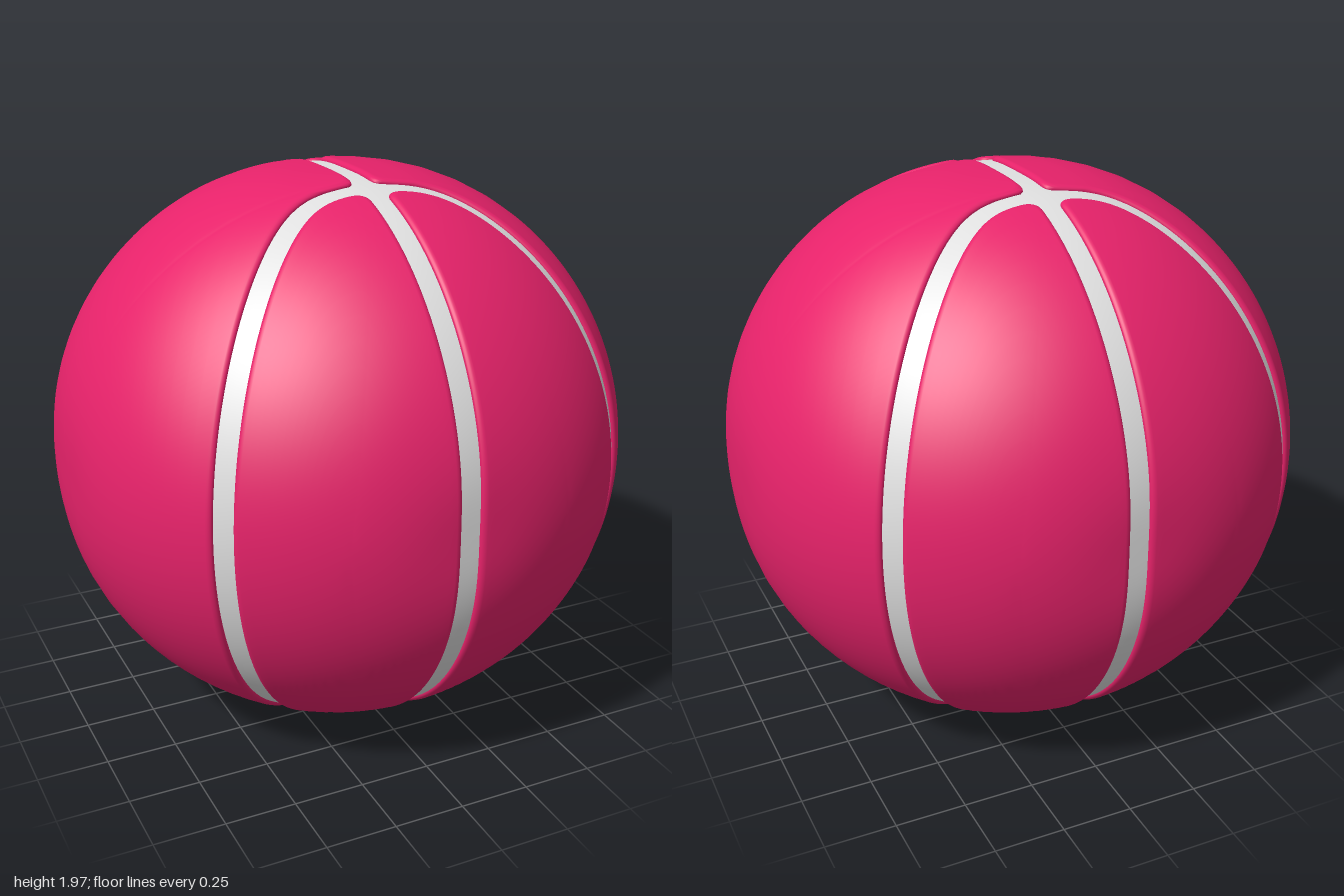
import * as THREE from 'three';

const HALF_SEAM = 0.035;   // half the width of a groove
const FILLET = 0.02;       // rounding along the panel edges
const DROP = 0.014;        // how far the rounding falls
const CORE = 0.985;        // groove floor, as a share of the panel radius
const SCALE = [1, 0.986, 0.995];
const RAYS = 300;

// Slightly squared ball: full radius on the axes, a little more on the diagonals
function inflate(p, share) {
  p.normalize();
  const q = Math.max(0, 1 - p.x ** 4 - p.y ** 4 - p.z ** 4);
  return p.multiplyScalar(share * (1 + (0.03 * q) / (q + 0.12)));
}

// Distance from a point on the unit sphere to the nearest panel edge (positive inside).
// sign +1: the four lens panels; sign -1: the two side panels.
function edgeDistance(p, sign) {
  const x = Math.abs(p.x), z = Math.abs(p.z);
  const s = x ** 4 + 0.0053;
  const n = new THREE.Vector3(x, p.y, z);
  const g = new THREE.Vector3(-(x ** 3) / s ** 0.75, 0, 1);
  g.addScaledVector(n, -g.dot(n));
  const curved = (sign * (z - s ** 0.25)) / (g.length() + 1e-6) - HALF_SEAM;
  const straight = x - HALF_SEAM;
  // smooth minimum rounds the panel corners
  const k = 0.05;
  const h = Math.max(k - Math.abs(curved - straight), 0) / k;
  return Math.min(curved, straight) - h * h * k * 0.25;
}

// Panel grown outwards from its centre direction to the seams, in rings
function panelGeometry(center, sign) {
  const c = center.clone().normalize();
  const up = new THREE.Vector3(0, 1, 0);
  const side = c.clone().cross(up).normalize();
  const inner = 14;
  const levels = [1, 0.65, 0.35, 0.15, 0.04, 0];
  const rings = inner + levels.length + 1;
  const pos = inflate(c.clone(), 1).toArray();
  const index = [];
  const columns = [];

  for (let j = 0; j < RAYS; j++) {
    const phi = (j / RAYS) * Math.PI * 2;
    const a = phi - 0.4 * Math.sin(2 * phi); // denser towards the pointed ends
    const dir = up.clone().multiplyScalar(Math.cos(a)).addScaledVector(side, Math.sin(a));
    const at = (t) => c.clone().multiplyScalar(Math.cos(t)).addScaledVector(dir, Math.sin(t));
    const reach = (level) => {
      let hi = 0.01;
      while (hi < 3 && edgeDistance(at(hi), sign) > level) hi += 0.01;
      let lo = hi - 0.01;
      for (let i = 0; i < 16; i++) {
        const mid = (lo + hi) / 2;
        if (edgeDistance(at(mid), sign) > level) lo = mid; else hi = mid;
      }
      return lo;
    };
    const column = [];
    const t0 = reach(FILLET);
    for (let i = 1; i <= inner; i++) column.push(inflate(at((t0 * i) / (inner + 1)), 1));
    for (const l of levels) {
      const fall = DROP * (1 - Math.sqrt(1 - (1 - l) ** 2));
      column.push(inflate(at(reach(FILLET * l)), 1 - fall));
    }
    column.push(inflate(at(reach(0)), CORE - 0.01));
    columns.push(column);
  }

  for (let i = 0; i < rings; i++) {
    for (let j = 0; j < RAYS; j++) {
      const p = columns[j][i];
      pos.push(p.x, p.y, p.z);
      const n = (j + 1) % RAYS;
      const o = 1 + i * RAYS;
      if (i === 0) index.push(0, o + j, o + n);
      else index.push(o - RAYS + j, o + j, o + n, o - RAYS + j, o + n, o - RAYS + n);
    }
  }
  const geo = new THREE.BufferGeometry();
  geo.setAttribute('position', new THREE.Float32BufferAttribute(pos, 3));
  geo.setIndex(index);
  geo.scale(...SCALE);
  geo.computeVertexNormals();
  return geo;
}

// Groove floor: a sphere pushed into the same squared shape
function coreGeometry() {
  const geo = new THREE.SphereGeometry(1, 128, 80);
  const points = geo.attributes.position;
  const p = new THREE.Vector3();
  for (let i = 0; i < points.count; i++) {
    inflate(p.fromBufferAttribute(points, i), CORE);
    points.setXYZ(i, p.x, p.y, p.z);
  }
  geo.scale(...SCALE);
  geo.computeVertexNormals();
  return geo;
}

export function createModel() {
  const group = new THREE.Group();
  group.name = 'ball';
  const pink = new THREE.MeshStandardMaterial({ color: 0xe7226a });
  pink.name = 'panelPink';
  const grey = new THREE.MeshStandardMaterial({ color: 0xe0e0e0 });
  grey.name = 'seamLightGrey';

  const add = (name, geo, mat) => {
    const mesh = new THREE.Mesh(geo, mat);
    mesh.name = name;
    mesh.position.y = 0.986;
    group.add(mesh);
  };

  // Inner ball, showing as the seams between panels
  add('seamCore', coreGeometry(), grey);

  // One wide panel per side, and a lens panel in each quarter
  for (const [sx, xName] of [[1, 'Left'], [-1, 'Right']]) {
    add('side' + xName + 'Panel', panelGeometry(new THREE.Vector3(sx, 0, 0), -1), pink);
    for (const [sz, zName] of [[1, 'front'], [-1, 'back']]) {
      add(zName + xName + 'Panel', panelGeometry(new THREE.Vector3(sx * 0.38, 0, sz * 0.92), 1), pink);
    }
  }
  return group;
}
